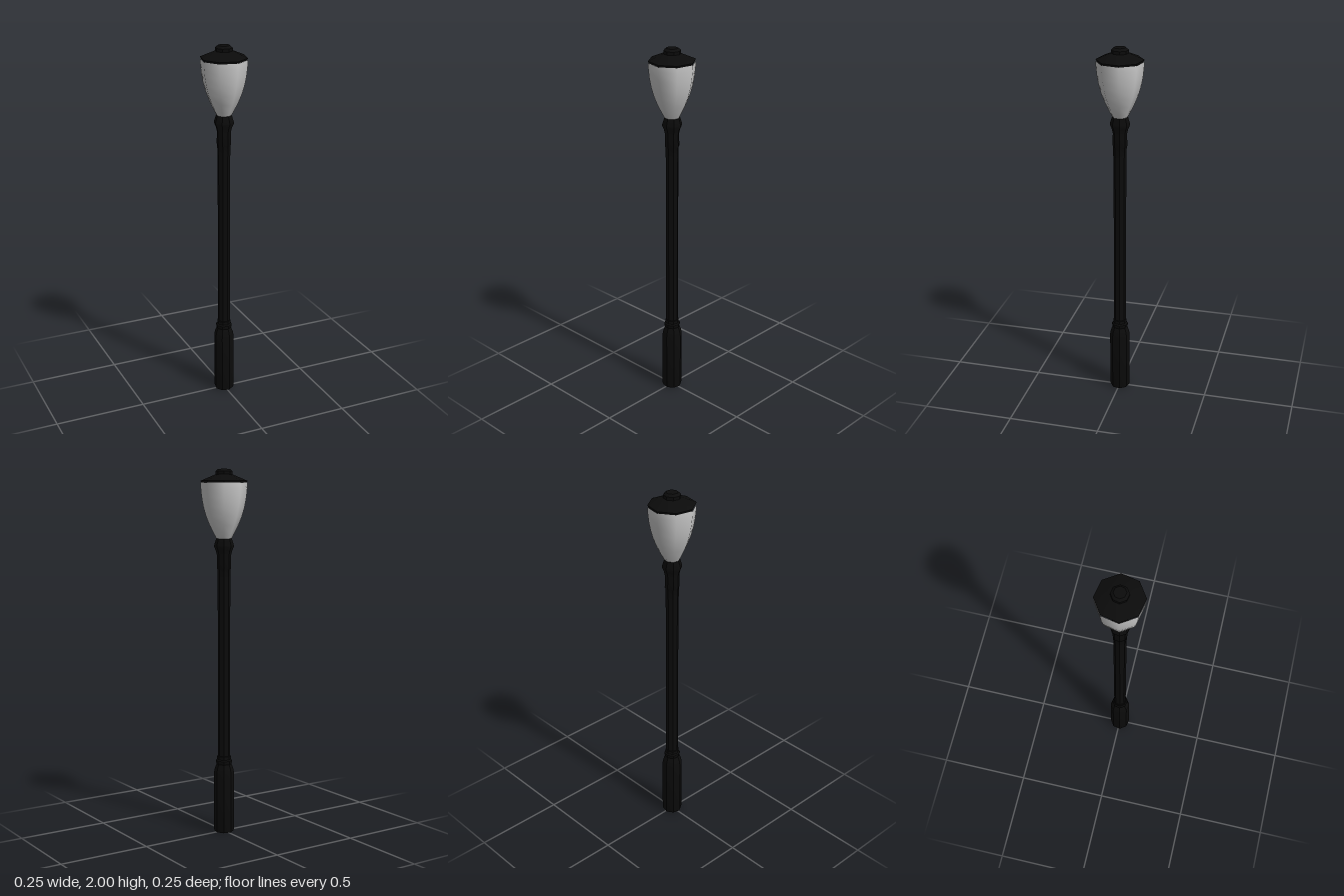
import * as THREE from 'three';
import { toCreasedNormals } from 'three/addons/utils/BufferGeometryUtils.js';

const SIDES = 8;
const TURN = THREE.MathUtils.degToRad(11);

const black = new THREE.MeshStandardMaterial({ color: 0x0b0b0b });
const glass = new THREE.MeshStandardMaterial({ color: 0xcccccc });

// Eight-sided turned part from [radius, height] pairs, bottom to top
function turned(name, profile, material, crease) {
  const points = profile.map(([r, y]) => new THREE.Vector2(r, y));
  let geometry = new THREE.LatheGeometry(points, SIDES, TURN);
  if (crease) geometry = toCreasedNormals(geometry, crease);
  const mesh = new THREE.Mesh(geometry, material);
  mesh.name = name;
  return mesh;
}

export function createModel() {
  const lamp = new THREE.Group();
  lamp.name = 'streetLamp';

  // Wide foot, tapering to a collar ring
  lamp.add(turned('base', [
    [0, 0], [0.052, 0], [0.056, 0.01], [0.056, 0.335], [0.051, 0.36],
    [0.041, 0.385], [0.045, 0.395], [0.045, 0.405], [0.038, 0.412],
    [0.038, 0.43], [0.03, 0.435],
  ], black, 0.6));

  // Long straight pole
  lamp.add(turned('pole', [[0.034, 0.4], [0.034, 1.43]], black, 0.6));

  // Neck sleeve flaring into the lantern seat
  lamp.add(turned('neck', [
    [0.03, 1.41], [0.036, 1.41], [0.036, 1.465], [0.039, 1.47], [0.038, 1.54],
    [0.044, 1.565], [0.053, 1.585], [0.053, 1.595], [0.042, 1.63], [0, 1.63],
  ], black, 0.6));

  // Smooth tulip-shaped glass
  lamp.add(turned('glassShade', [
    [0.038, 1.625], [0.052, 1.65], [0.077, 1.7], [0.097, 1.75],
    [0.111, 1.8], [0.12, 1.85], [0.125, 1.9], [0.125, 1.927],
  ], glass));

  // Sloping roof with a brim
  lamp.add(turned('roof', [
    [0, 1.922], [0.118, 1.922], [0.126, 1.937], [0.046, 1.971], [0, 1.971],
  ], black, 0.6));

  // Small button on top
  lamp.add(turned('roofKnob', [
    [0.046, 1.965], [0.046, 1.988], [0.032, 2], [0, 2],
  ], black, 0.6));

  return lamp;
}
